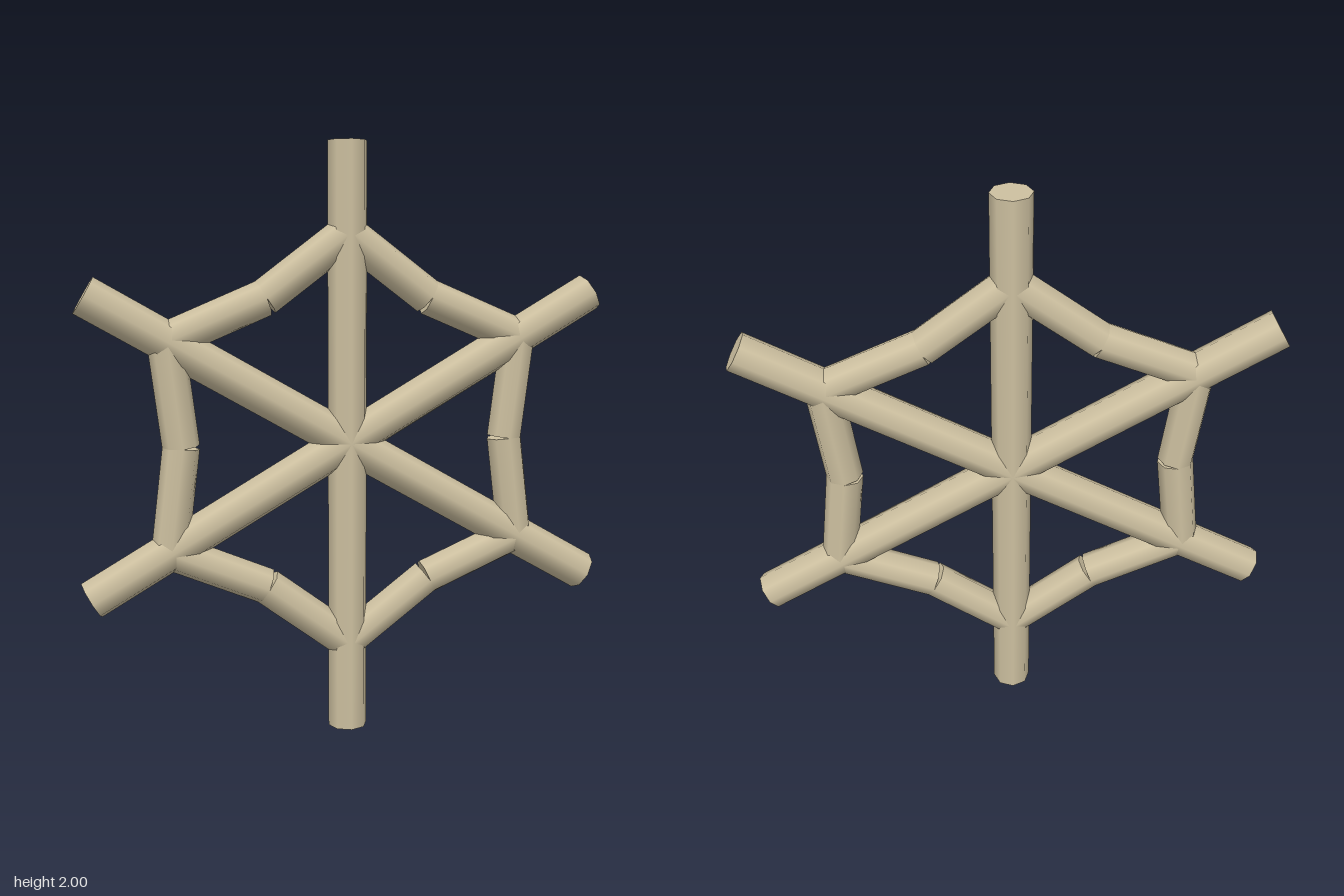
import * as THREE from 'three';

const SIDES = 8;

export function createModel() {
  const model = new THREE.Group();
  const wood = new THREE.MeshStandardMaterial({ color: 0xcdc0a0 });
  wood.name = 'pale wood';

  // straight rod between two points in the plane of the wheel
  function rod(name, a, b, radius) {
    const dir = new THREE.Vector2().subVectors(b, a);
    const mesh = new THREE.Mesh(new THREE.CylinderGeometry(radius, radius, dir.length(), SIDES), wood);
    mesh.name = name;
    mesh.position.set((a.x + b.x) / 2, (a.y + b.y) / 2 + 1, 0);
    mesh.rotation.z = Math.atan2(dir.y, dir.x) - Math.PI / 2;
    model.add(mesh);
  }
  const polar = (r, degrees) => {
    const t = THREE.MathUtils.degToRad(degrees);
    return new THREE.Vector2(r * Math.cos(t), r * Math.sin(t));
  };

  // three long bars crossing at the hub
  for (let i = 0; i < 3; i++) {
    const angle = 90 + i * 60;
    rod('spoke', polar(1, angle + 180), polar(1, angle), 0.067);
  }

  // web strands sag inward, each made of two butted rods
  for (let i = 0; i < 6; i++) {
    const angle = 30 + i * 60;
    const bend = polar(0.563, angle + 30);
    rod('webStrand', polar(0.7, angle), bend, 0.062);
    rod('webStrand', bend, polar(0.7, angle + 60), 0.062);
  }
  return model;
}
